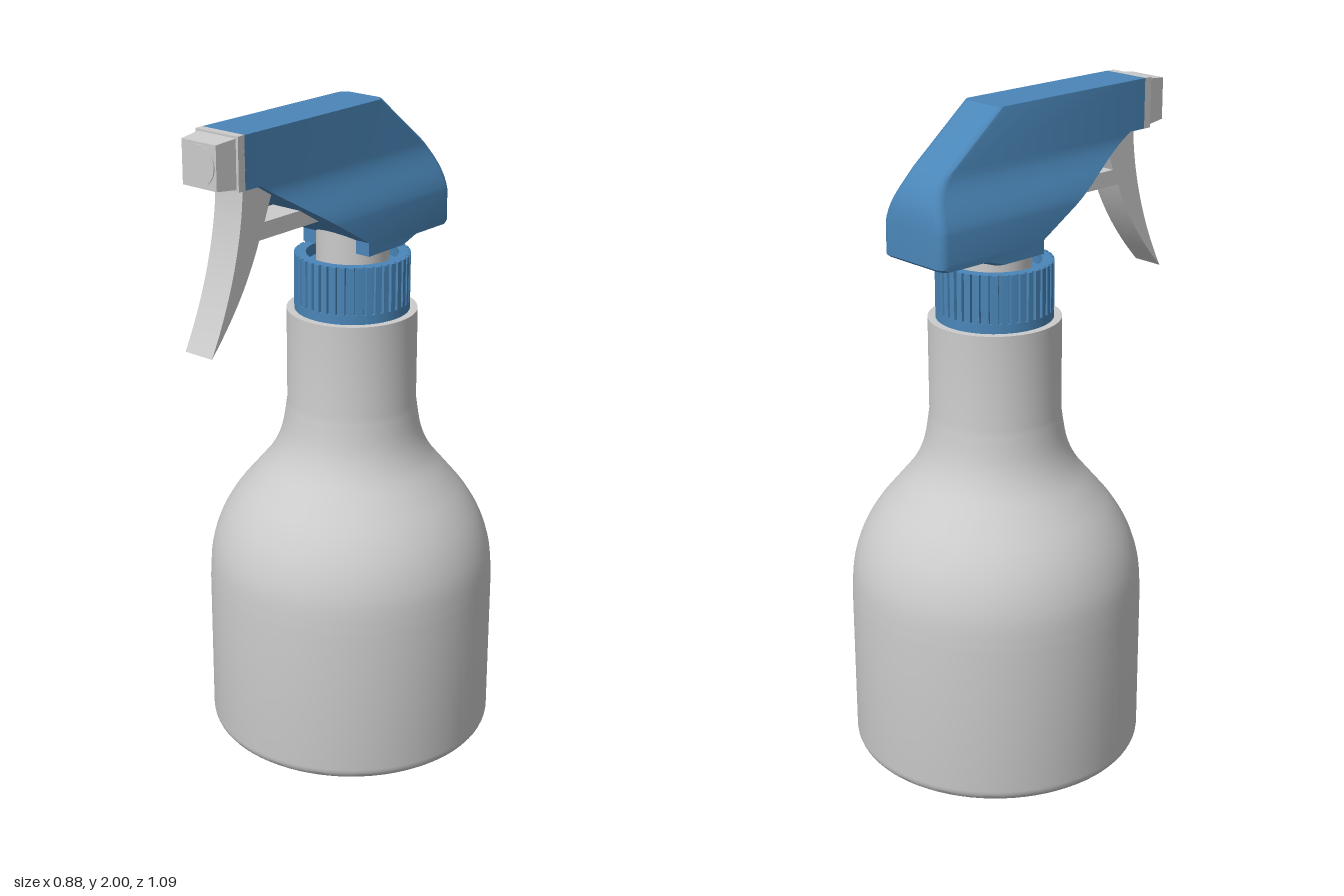
import * as THREE from 'three';
import { toCreasedNormals } from 'three/addons/utils/BufferGeometryUtils.js';

const grey = new THREE.MeshStandardMaterial({ color: 0xcccccc });
const blue = new THREE.MeshStandardMaterial({ color: 0x4a86b8 });
const AXIS_Z = -0.105; // vertical axis of bottle and cap

const V2 = (p) => new THREE.Vector2(p[0], p[1]);

function add(group, name, geometry, material, x = 0, y = 0, z = 0) {
  const mesh = new THREE.Mesh(geometry, material);
  mesh.name = name;
  mesh.position.set(x, y, z);
  group.add(mesh);
  return mesh;
}

const lathe = (points, segments = 64) =>
  toCreasedNormals(new THREE.LatheGeometry(points.map(V2), segments), 0.6);

// Bottle: rounded foot, straight wall, S-curved shoulder, neck with open lip
function bottleGeometry() {
  const foot = [[0, 0], [0.4, 0]];
  for (let i = 1; i <= 6; i++) {
    const a = (i / 6) * Math.PI / 2;
    foot.push([0.4 + 0.04 * Math.sin(a), 0.04 - 0.04 * Math.cos(a)]);
  }
  const shoulder = new THREE.SplineCurve([
    [0.44, 0.5], [0.432, 0.6], [0.405, 0.69], [0.36, 0.77], [0.3, 0.845],
    [0.245, 0.915], [0.212, 0.99], [0.195, 1.09],
  ].map(V2)).getPoints(28).map((p) => [p.x, p.y]);
  return lathe([...foot, ...shoulder, [0.195, 1.375], [0.165, 1.375], [0.165, 1.34]], 80);
}

// Cap grip: toothed ring with a round bore
function gripGeometry() {
  const ribs = 40, shape = new THREE.Shape();
  for (let i = 0; i < ribs; i++) {
    [[0, 0.172], [0.62, 0.172], [0.7, 0.163], [0.92, 0.163]].forEach(([f, r], k) => {
      const a = ((i + f) / ribs) * Math.PI * 2;
      shape[i + k === 0 ? 'moveTo' : 'lineTo'](r * Math.cos(a), r * Math.sin(a));
    });
  }
  shape.closePath();
  shape.holes.push(new THREE.Path().absarc(0, 0, 0.137, 0, Math.PI * 2, true));
  const g = new THREE.ExtrudeGeometry(shape, { depth: 0.145, bevelEnabled: false, curveSegments: 32 });
  return g.rotateX(-Math.PI / 2);
}

// Sprayer housing: horizontal cross-sections stacked from top to bottom
function housingGeometry() {
  const slope = (y) => -0.03 + ((y - 1.61) / 0.24) * 0.4;
  const halfWidth = (y) => 0.125 - 0.048 * THREE.MathUtils.smoothstep(y, 1.68, 1.84);
  // [height, front z, back z]
  const levels = [[2, 0.43, -0.155], [1.85, 0.43, -0.342], [1.85, 0.37, -0.342]];
  const back = new THREE.SplineCurve(
    [[-0.342, 1.85], [-0.362, 1.832], [-0.39, 1.795], [-0.408, 1.75], [-0.415, 1.69]].map(V2));
  back.getPoints(12).slice(1).forEach((p) => levels.push([p.y, slope(p.y), p.x]));
  levels.push([1.61, -0.03, -0.415], [1.598, -0.03, -0.415], [1.59, -0.03, -0.405],
    [1.59, -0.03, -0.27], [1.57, -0.03, -0.21]);

  const c = 0.028;
  const rings = levels.map(([y, zf, zb]) => {
    const w = halfWidth(y);
    const side = [[w, zf]];
    for (let i = 0; i <= 4; i++) {
      const a = (i / 4) * Math.PI / 2;
      side.push([w - c + c * Math.cos(a), zb + c - c * Math.sin(a)]);
    }
    const mirrored = side.map(([x, z]) => [-x, z]).reverse();
    return [...side, ...mirrored].map(([x, z]) => [x, y, z]);
  });

  const n = rings[0].length, index = [];
  for (let r = 0; r < rings.length - 1; r++) {
    for (let i = 0; i < n; i++) {
      const a = r * n + i, b = r * n + (i + 1) % n;
      index.push(a, a + n, b, b, a + n, b + n);
    }
  }
  const last = (rings.length - 1) * n;
  for (let i = 1; i < n - 1; i++) {
    index.push(0, i, i + 1, last, last + i + 1, last + i);
  }
  const g = new THREE.BufferGeometry();
  g.setAttribute('position', new THREE.Float32BufferAttribute(rings.flat(2), 3));
  g.setIndex(index);
  return toCreasedNormals(g, 0.5);
}

// Trigger: curved lever with a push arm, drawn in (z, y) and extruded across x
function triggerGeometry() {
  const s = new THREE.Shape();
  s.moveTo(0.41, 1.88);
  s.lineTo(0.415, 1.8);
  s.bezierCurveTo(0.43, 1.66, 0.48, 1.52, 0.545, 1.4);
  s.bezierCurveTo(0.47, 1.48, 0.4, 1.57, 0.35, 1.69);
  s.lineTo(0.08, 1.69);
  s.lineTo(0.08, 1.738);
  s.lineTo(0.328, 1.738);
  s.lineTo(0.295, 1.82);
  s.lineTo(0.33, 1.88);
  s.closePath();
  const g = new THREE.ExtrudeGeometry(s, { depth: 0.1, bevelEnabled: false, curveSegments: 14 });
  g.translate(0, 0, -0.05).rotateY(-Math.PI / 2);
  return toCreasedNormals(g, 0.4);
}

// Nozzle block narrowing towards the front
function nozzleGeometry() {
  const g = new THREE.BoxGeometry(0.138, 0.138, 0.07);
  const p = g.attributes.position;
  for (let i = 0; i < p.count; i++) {
    if (p.getZ(i) > 0) p.setXY(i, p.getX(i) * 0.9, p.getY(i) * 0.9);
  }
  g.computeVertexNormals();
  return g;
}

export function createModel() {
  const model = new THREE.Group();
  model.name = 'sprayBottle';

  const bottle = add(model, 'bottle', bottleGeometry(), grey, 0, 0, AXIS_Z);
  bottle.material = grey.clone();
  bottle.material.side = THREE.DoubleSide;

  // Screw cap
  const cap = new THREE.Group();
  cap.name = 'screwCap';
  cap.position.z = AXIS_Z;
  model.add(cap);
  add(cap, 'capFlange', new THREE.CylinderGeometry(0.172, 0.172, 0.035, 64), blue, 0, 1.385, 0);
  add(cap, 'capGrip', gripGeometry(), blue, 0, 1.4, 0);
  add(cap, 'capFloor', new THREE.CylinderGeometry(0.14, 0.14, 0.1, 48), blue, 0, 1.46, 0);
  add(cap, 'stem', new THREE.CylinderGeometry(0.107, 0.107, 0.14, 48), grey, 0, 1.57, 0);

  // Spray head
  const head = new THREE.Group();
  head.name = 'sprayHead';
  model.add(head);
  add(head, 'housing', housingGeometry(), blue);
  add(head, 'trigger', triggerGeometry(), grey);
  add(head, 'nozzleCollar', new THREE.BoxGeometry(0.154, 0.15, 0.026), grey, 0, 1.925, 0.442);
  add(head, 'nozzle', nozzleGeometry(), grey, 0, 1.925, 0.488);
  const tip = new THREE.CylinderGeometry(0.056, 0.056, 0.01, 32).rotateX(Math.PI / 2);
  add(head, 'nozzleDisc', tip, grey, 0, 1.925, 0.521);

  return model;
}
